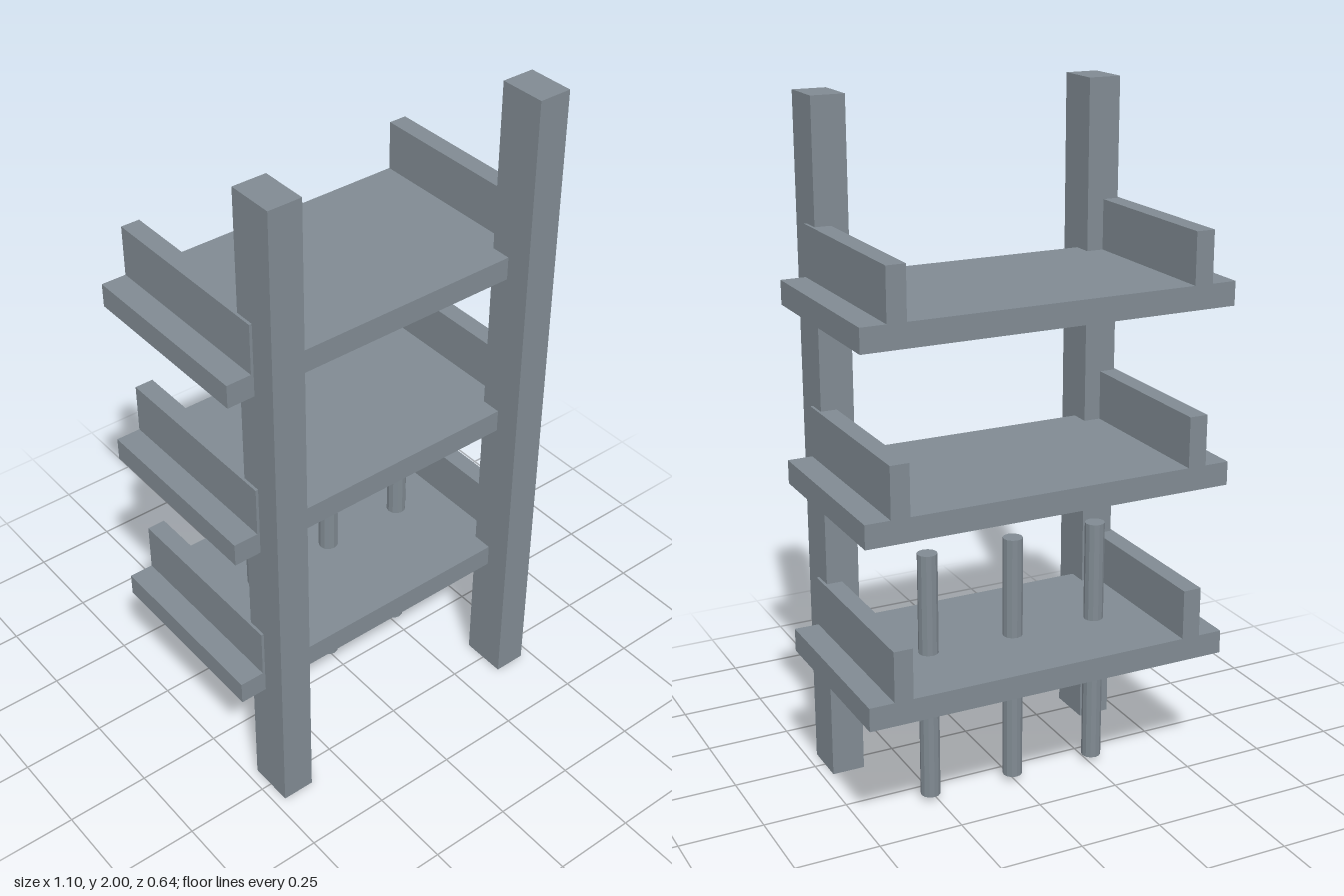
import * as THREE from 'three';

export function createModel() {
  const group = new THREE.Group();
  const steel = new THREE.MeshStandardMaterial({ color: 0x808a92 });
  steel.name = 'grey steel';
  const rodSteel = steel.clone();
  rodSteel.name = 'grey steel faceted';
  rodSteel.flatShading = true;

  // Box given by its minimum and maximum corners
  function box(name, [x0, y0, z0], [x1, y1, z1]) {
    const mesh = new THREE.Mesh(new THREE.BoxGeometry(x1 - x0, y1 - y0, z1 - z0), steel);
    mesh.position.set((x0 + x1) / 2, (y0 + y1) / 2, (z0 + z1) / 2);
    mesh.name = name;
    group.add(mesh);
  }

  // Front uprights
  box('leftPost', [0.37, 0, 0.182], [0.468, 2, 0.32]);
  box('rightPost', [-0.468, 0, 0.182], [-0.37, 2, 0.32]);

  // Three shelves, each with a rail near both ends
  [0.397, 0.916, 1.434].forEach((y, i) => {
    const top = y + 0.069;
    box(`shelf${i + 1}`, [-0.549, y, -0.32], [0.549, top, 0.242]);
    box(`leftRail${i + 1}`, [0.421, top, -0.32], [0.476, top + 0.148, 0.242]);
    box(`rightRail${i + 1}`, [-0.476, top, -0.32], [-0.421, top + 0.148, 0.242]);
  });

  // Vertical rods through the lowest shelf
  [-0.266, 0, 0.266].forEach((x, i) => {
    const rod = new THREE.Mesh(new THREE.CylinderGeometry(0.029, 0.029, 0.75, 12), rodSteel);
    rod.position.set(x, 0.392, -0.073);
    rod.name = `rod${i + 1}`;
    group.add(rod);
  });

  return group;
}
